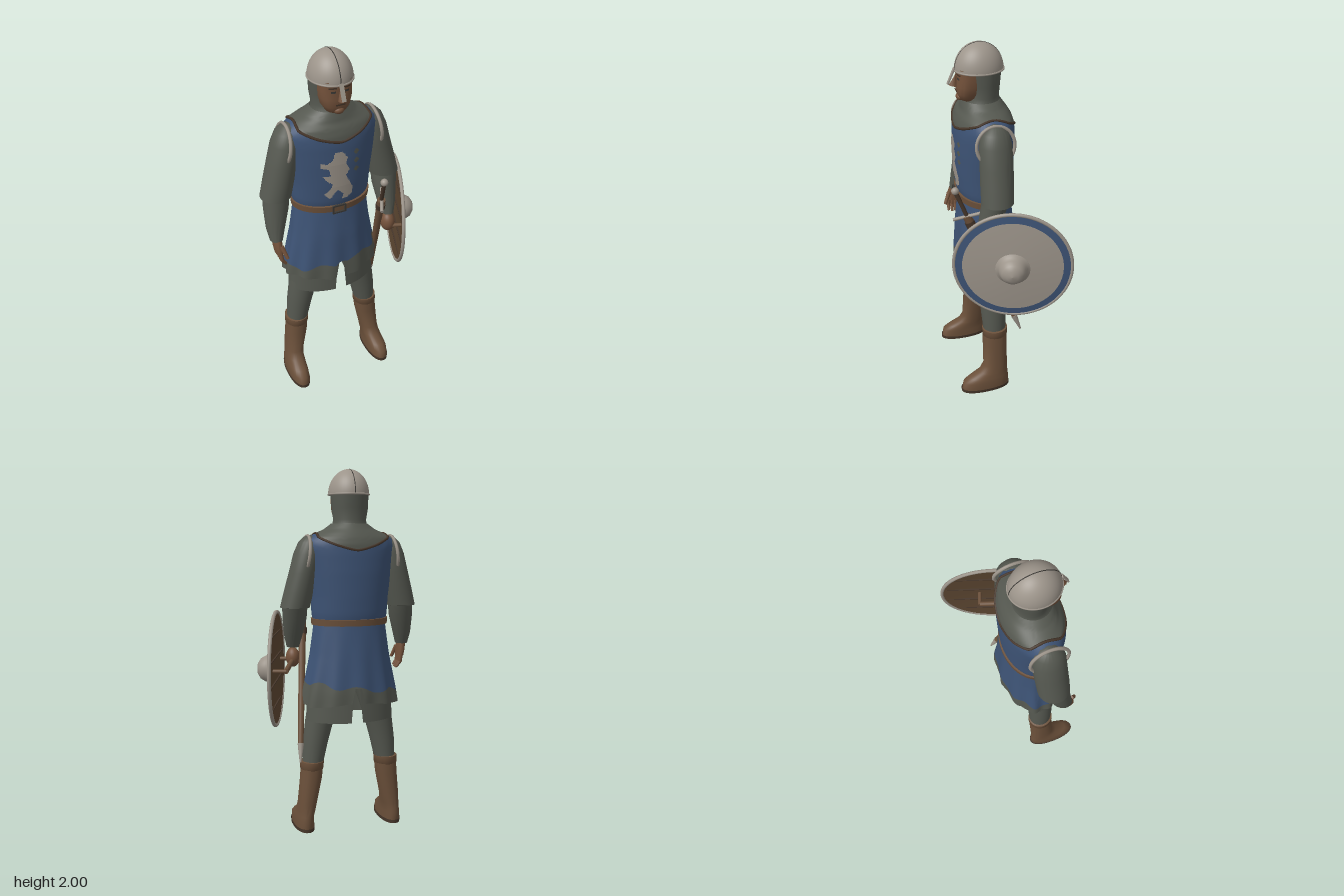
import * as THREE from 'three';
import { toCreasedNormals } from 'three/addons/utils/BufferGeometryUtils.js';

const mat = (name, color) => {
  const m = new THREE.MeshStandardMaterial({ color, side: THREE.DoubleSide });
  m.name = name;
  return m;
};
const V = (x, y, z) => new THREE.Vector3(x, y, z);
const lerp = THREE.MathUtils.lerp;

// Cross-section rows, ascending: [y, centre x, half width, front z, back z]
const TORSO = [[1.17, 0, .2, .17, -.1], [1.22, 0, .212, .185, -.11], [1.32, 0, .218, .192, -.115],
  [1.45, 0, .235, .195, -.118], [1.55, 0, .25, .192, -.116], [1.6, 0, .254, .185, -.112],
  [1.635, 0, .238, .172, -.1], [1.66, 0, .186, .155, -.085], [1.68, 0, .14, .15, -.07], [1.71, 0, .098, .14, -.05]];
const SKIRT = [[.7, 0, .276, .2, -.14], [.8, 0, .262, .2, -.138], [1, 0, .224, .19, -.12], [1.19, 0, .2, .17, -.1]];
const UNDERSKIRT = [[.62, 0, .25, .185, -.118], [.85, 0, .235, .18, -.11]];
const HOOD = [[1.66, 0, .125, .15, -.07], [1.69, 0, .096, .135, -.052], [1.73, 0, .09, .115, -.045],
  [1.79, 0, .1, .12, -.05], [1.89, 0, .104, .14, -.06]];
const FACE = [[1.7, 0, .025, .13, .06], [1.718, 0, .05, .16, .05], [1.75, 0, .07, .172, .04],
  [1.79, 0, .08, .174, .03], [1.83, 0, .083, .17, .03], [1.88, 0, .083, .172, .03]];
const LEG = [[.36, .217, .056, .1, -.025], [.5, .198, .07, .11, -.03], [.63, .172, .08, .118, -.035],
  [.8, .13, .095, .13, -.05], [.95, .1, .1, .14, -.06]];
const BOOT = [[.015, .257, .053, .245, -.03], [.06, .257, .054, .238, -.033], [.085, .255, .051, .2, -.03],
  [.115, .25, .05, .14, -.028], [.16, .245, .052, .112, -.027], [.3, .224, .06, .108, -.03], [.385, .217, .062, .105, -.03]];
const SOLE = [[0, .257, 0, .107, .107], [0, .257, .056, .25, -.036], [.02, .257, .058, .25, -.036]];
const CUFF = [[.355, .22, .061, .104, -.03], [.36, .219, .066, .109, -.034], [.4, .217, .066, .109, -.034], [.402, .217, .055, .1, -.025]];
const SLEEVE = [[1.26, .305, .07, .122, -.025], [1.262, .305, .081, .132, -.035], [1.35, .284, .08, .13, -.04],
  [1.45, .26, .077, .126, -.045], [1.55, .238, .073, .122, -.044], [1.61, .225, .06, .105, -.03], [1.64, .22, .034, .075, 0], [1.65, .215, 0, .04, .04]];
const FOREARM = [[1.035, .336, .034, .15, .07], [1.1, .33, .05, .142, .04], [1.2, .314, .066, .132, .005], [1.29, .304, .07, .125, -.02]];
const PALM = [[.96, .332, .02, .168, .085], [1, .335, .024, .165, .08], [1.05, .337, .025, .145, .085]];
const BELT = [[1.165, 0, .203, .175, -.102], [1.166, 0, .213, .189, -.114], [1.2, 0, .216, .192, -.116], [1.201, 0, .2, .17, -.1]];

function rowAt(rows, y) {
  let i = 0;
  while (i < rows.length - 2 && y > rows[i + 1][0]) i++;
  const t = THREE.MathUtils.clamp((y - rows[i][0]) / (rows[i + 1][0] - rows[i][0]), 0, 1);
  return rows[i].map((v, k) => lerp(v, rows[i + 1][k], t));
}

// Point at angle a of a cross-section; p below 1 squares it off
function onRow([y, cx, hx, zf, zb], a, p = 1, swell = 1) {
  const f = v => Math.sign(v) * Math.abs(v) ** p;
  return V(cx + hx * swell * f(Math.cos(a)), y, (zf + zb) / 2 + (zf - zb) / 2 * swell * f(Math.sin(a)));
}

// Skin over the rows, or between two edges lo(a) and hi(a)
function shell(rows, { lo, hi, m = 14, n = 40, p = 1, fold = 0 } = {}) {
  if (!lo) m = rows.length - 1;
  const pos = [], idx = [];
  for (let i = 0; i <= m; i++) for (let j = 0; j < n; j++) {
    const a = j / n * Math.PI * 2;
    const row = lo ? rowAt(rows, lerp(lo(a), hi(a), i / m)) : rows[i];
    if (lo) row[0] = lerp(lo(a), hi(a), i / m);
    pos.push(...onRow(row, a, p, 1 + fold * Math.sin(11 * a + 1) * Math.max(0, 1.15 - row[0])).toArray());
    if (i < m) {
      const A = i * n + j, B = i * n + (j + 1) % n;
      idx.push(A, A + n, B, B, A + n, B + n);
    }
  }
  const g = new THREE.BufferGeometry();
  g.setAttribute('position', new THREE.Float32BufferAttribute(pos, 3));
  g.setIndex(idx);
  return toCreasedNormals(g, 1);
}

// Painted patch: fine cells inside an outline (hundredths), laid on the front of a shell
function patch(outline, rows, p, cell) {
  const inside = (x, y) => outline.reduce((c, [ax, ay], i) => {
    const [bx, by] = outline[(i + 1) % outline.length];
    return (ay > y) !== (by > y) && x < (bx - ax) * (y - ay) / (by - ay) + ax ? !c : c;
  }, false);
  const pt = (x, y) => {
    const [, cx, hx, zf, zb] = rowAt(rows, y);
    const k = Math.max(0, 1 - Math.abs((x - cx) / hx) ** (2 / p)) ** (p / 2);
    return [x, y, (zf + zb) / 2 + (zf - zb) / 2 * k + .004];
  };
  const xs = outline.map(o => o[0]), ys = outline.map(o => o[1]), pos = [];
  for (let x = Math.min(...xs); x < Math.max(...xs); x += cell) for (let y = Math.min(...ys); y < Math.max(...ys); y += cell) {
    if (!inside(x + cell / 2, y + cell / 2)) continue;
    const [a, b, c, d] = [[x, y], [x + cell, y], [x + cell, y + cell], [x, y + cell]].map(q => pt(q[0] / 100, q[1] / 100));
    pos.push(...a, ...b, ...c, ...a, ...c, ...d);
  }
  const g = new THREE.BufferGeometry();
  g.setAttribute('position', new THREE.Float32BufferAttribute(pos, 3));
  g.computeVertexNormals();
  return g;
}

function rod(a, b, r0, r1 = r0, n = 12) {
  const d = b.clone().sub(a);
  const g = new THREE.CylinderGeometry(r1, r0, d.length(), n);
  g.applyQuaternion(new THREE.Quaternion().setFromUnitVectors(V(0, 1, 0), d.normalize()));
  return g.translate(...a.clone().add(b).multiplyScalar(.5).toArray());
}
const ball = (r, x, y, z, sx = 1, sy = 1, sz = 1) => new THREE.SphereGeometry(r, 24, 16).scale(sx, sy, sz).translate(x, y, z);
const box = (w, h, d, x, y, z) => new THREE.BoxGeometry(w, h, d).translate(x, y, z);
const loop = (pts, r) => new THREE.TubeGeometry(new THREE.CatmullRomCurve3(pts, true), 80, r, 6, true);
const lathe = pts => new THREE.LatheGeometry(pts.map(q => new THREE.Vector2(...q)), 56).rotateX(Math.PI / 2);

export function createModel() {
  const blue = mat('blue cloth', 0x3d5375), mail = mat('grey mail', 0x555850), steel = mat('pale steel', 0x9c948a),
    skin = mat('skin', 0x74523b), leather = mat('brown leather', 0x6b503a), dark = mat('dark leather', 0x46362a),
    wood = mat('shield wood', 0x5c4631), iron = mat('dark iron', 0x3b3935);
  const root = new THREE.Group(), man = new THREE.Group(), shield = new THREE.Group();
  man.name = 'soldier'; shield.name = 'shield';
  root.add(man, shield);
  man.position.x = -.078;
  const add = (parent, name, geo, m) => {
    const mesh = new THREE.Mesh(geo, m);
    mesh.name = name;
    parent.add(mesh);
    return mesh;
  };

  // Surcoat, neckline and mail collar
  const neck = a => 1.57 + .088 * Math.abs(Math.cos(a)) ** 1.4;
  add(man, 'surcoat', shell(TORSO, { lo: () => 1.17, hi: neck, m: 20, n: 64 }), blue);
  add(man, 'mailCollar', shell(TORSO, { lo: neck, hi: () => 1.71, n: 64 }), mail);
  const ring = Array.from({ length: 40 }, (_, i) => i / 40 * Math.PI * 2);
  add(man, 'necklineTrim', loop(ring.map(a => onRow(rowAt(TORSO, neck(a)), a)), .007), dark);

  // Skirt with uneven painted border, slit front and back, over a mail hem
  const slit = a => Math.abs(Math.cos(a)) < .08;
  const hem = a => slit(a) ? .83 : .735 + .012 * Math.sin(3 * a);
  const border = a => Math.max(hem(a), .825 + .03 * Math.cos(a) + .014 * Math.sin(7 * a));
  add(man, 'skirt', shell(SKIRT, { lo: border, hi: () => 1.19, n: 96, fold: .09 }), blue);
  add(man, 'skirtBorder', shell(SKIRT, { lo: hem, hi: border, m: 4, n: 96, fold: .09 }), mail);
  add(man, 'mailHem', shell(UNDERSKIRT, { lo: a => slit(a) ? .825 : .635, hi: () => .85, m: 6, n: 96 }), mail);

  // Belt and buckle
  add(man, 'belt', shell(BELT, { n: 64 }), leather);
  for (const s of [-1, 1]) {
    add(man, 'buckleSide', box(.008, .046, .01, -.015 + s * .033, 1.183, .193), iron);
    add(man, 'buckleBar', box(.07, .008, .01, -.015, 1.183 + s * .02, .193), iron);
  }

  // Painted beast and small marks on the chest
  const beast = [[-4, 152], [0, 152], [3, 148], [2, 145], [4, 141], [2, 138], [4, 134], [6, 130], [6, 126], [3, 124], [0, 124],
    [1, 127], [-2, 130], [-4, 128], [-6, 125], [-9, 128], [-6, 131], [-5, 134], [-8, 136], [-10, 139], [-6, 139], [-7, 143],
    [-11, 144], [-11, 147], [-8, 146], [-5, 148]];
  add(man, 'chestBeast', patch(beast, TORSO, 1, .5), steel);
  for (const y of [150, 145, 140])
    add(man, 'chestMark', patch([[6.5, y], [8, y + 2], [9.5, y], [8, y - 2]], TORSO, 1, .5), mail);

  // Head: hood, face, features
  add(man, 'mailHood', shell(HOOD), mail);
  add(man, 'face', shell(FACE, { p: .75 }), skin);
  add(man, 'nose', new THREE.ConeGeometry(.02, .065, 8).scale(.8, 1, 1.25).rotateX(-.2).translate(0, 1.818, .18), skin);
  add(man, 'chin', ball(.025, 0, 1.728, .152, 1.1, .8, 1), skin);
  add(man, 'mouth', patch([[-2.4, 176], [2.4, 176], [2.4, 176.7], [-2.4, 176.7]], FACE, .75, .2), dark);
  for (const s of [-1, 1]) {
    const quad = (x, w, y0, y1) => [[s * x - w, y0], [s * x + w, y0], [s * x + w, y1], [s * x - w, y1]];
    add(man, 'eye', patch(quad(3.5, 1.2, 182.6, 183.6), FACE, .75, .2), iron);
    add(man, 'eyebrow', patch(quad(3.7, 1.9, 184.7, 185.5), FACE, .75, .2), dark);
  }

  // Helmet with brim band, crest seam and nose guard
  const dome = new THREE.SphereGeometry(1, 40, 16, 0, Math.PI * 2, 0, Math.PI / 2);
  add(man, 'helmet', dome.scale(.11, .136, .125).translate(0, 1.862, .055), steel);
  add(man, 'helmetBand', loop(ring.map(a => onRow([1.864, 0, .109, .18, -.07], a)), .005), steel);
  add(man, 'helmetSeam', new THREE.TorusGeometry(1, .012, 6, 48, Math.PI).rotateY(Math.PI / 2)
    .scale(.2, .136, .125).translate(0, 1.862, .055), iron);
  add(man, 'noseGuard', box(.02, .085, .008, 0, 0, 0).rotateX(-.42).translate(0, 1.836, .199), steel);

  // Limbs
  for (const s of [-1, 1]) {
    const side = (rows, dx = 0, dz = 0) => rows.map(([y, cx, hx, zf, zb]) => {
      const k = THREE.MathUtils.clamp((1.29 - y) / .25, 0, 1);
      return [y, s * (cx + dx * k), hx, zf + dz * k, zb + dz * k];
    });
    add(man, 'leg', shell(side(LEG)), mail);
    add(man, 'boot', shell(side(BOOT), { p: .88 }), leather);
    add(man, 'sole', shell(side(SOLE), { p: .88 }), dark);
    add(man, 'bootCuff', shell(side(CUFF)), leather);
    add(man, 'sleeve', shell(side(SLEEVE)), mail);
    add(man, 'forearm', shell(side(FOREARM, s > 0 ? -.036 : 0, s > 0 ? .02 : 0)), mail);
    add(man, 'armholeTrim', loop(ring.map(a => V(s * (.246 - .012 * Math.sin(a)), 1.545 + .1 * Math.sin(a),
      .04 + .098 * Math.cos(a))), .009), steel);
  }

  // Open hand, and the fist on the shield grip
  add(man, 'palm', shell(PALM.map(r => [r[0], -r[1], ...r.slice(2)])), skin);
  for (let i = 0; i < 4; i++) {
    const z = .095 + i * .02, tip = .885 + Math.abs(i - 1.4) * .008;
    add(man, 'finger', rod(V(-.332, .97, z), V(-.328, .925, z + .006), .0105), skin);
    add(man, 'fingertip', rod(V(-.328, .927, z + .006), V(-.308, tip, z + .008), .0105, .007), skin);
  }
  add(man, 'thumb', rod(V(-.325, 1.01, .155), V(-.305, .945, .185), .013, .009), skin);
  add(man, 'fist', ball(.045, .298, .975, .142, .85, 1.25, 1), skin);

  // Sheathed sword
  const top = V(.135, 1.31, .245), tip = V(.235, .43, -.085), on = t => top.clone().lerp(tip, t);
  add(root, 'pommel', ball(.02, ...top.toArray()), steel);
  add(root, 'swordGrip', rod(on(.01), on(.16), .011), dark);
  add(root, 'crossguard', rod(V(.122, 1.137, .255), V(.186, 1.19, .125), .009), steel);
  add(root, 'scabbard', rod(on(.165), on(.9), .022, .015), leather);
  add(root, 'scabbardTip', rod(on(.89), on(1), .018, .005), steel);
  add(root, 'scabbardStrap', rod(on(.2), on(.24), .026), dark);

  // Round shield: painted face, rim, boss, boarded back and grip
  shield.position.set(.342, .94, 0);
  shield.rotation.y = 1.237;
  add(shield, 'shieldFace', lathe([[0, .03], [.14, .025], [.262, .012]]), steel);
  add(shield, 'shieldBand', lathe([[.262, .012], [.3, .007]]), blue);
  add(shield, 'shieldRim', new THREE.TorusGeometry(.305, .01, 8, 64), steel);
  add(shield, 'shieldBack', lathe([[0, .015], [.14, .01], [.3, -.004]]), wood);
  add(shield, 'boss', lathe([[.09, .022], [.09, .031], [.074, .034], [.07, .058], [.055, .084], [.03, .1], [0, .105]]), steel);
  for (const y of [-.19, -.065, .065, .19])
    add(shield, 'boardSeam', box(2 * Math.sqrt(.295 ** 2 - y * y), .005, .008, 0, y, .001), dark);
  add(shield, 'grip', rod(V(.09, 0, -.06), V(-.21, .02, -.07), .014), leather);
  for (const [x, y] of [[.09, 0], [-.2, .02]])
    add(shield, 'gripMount', rod(V(x, y, -.065), V(x, y, .008), .011), leather);
  return root;
}
